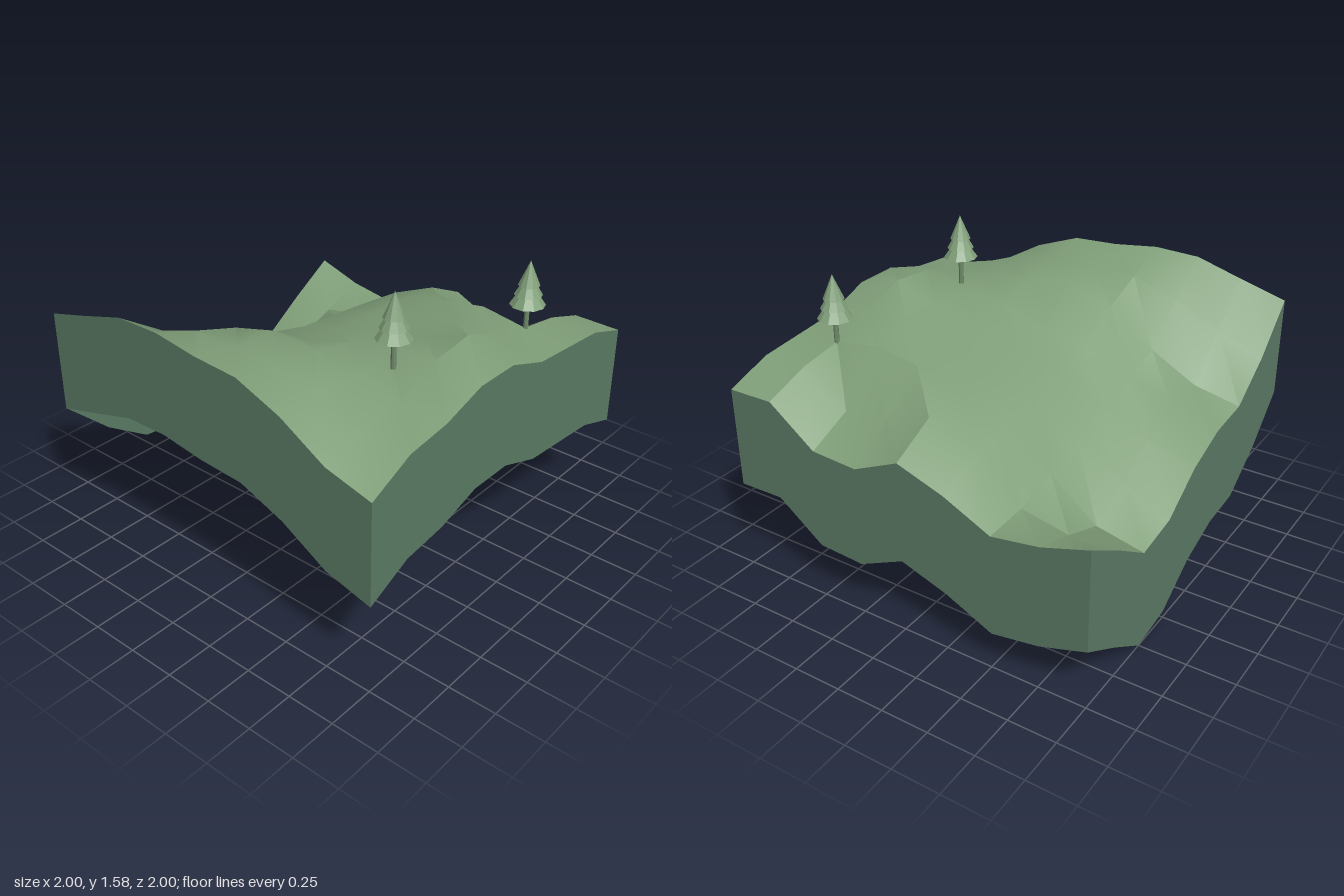
import * as THREE from 'three';
import { toCreasedNormals } from 'three/addons/utils/BufferGeometryUtils.js';

// Ground heights: rows run back to front, columns run from -x to +x
const HEIGHTS = [
  [1.225, 0.995, 0.83, 0.81, 0.725, 0.57, 0.535, 0.70, 0.85],
  [1.29, 1.09, 0.88, 0.86, 0.80, 0.69, 0.59, 0.685, 0.77],
  [1.36, 1.20, 1.015, 0.95, 0.89, 0.84, 0.79, 0.735, 0.73],
  [1.365, 1.28, 1.20, 1.08, 1.02, 1.00, 0.975, 0.945, 0.85],
  [1.33, 1.28, 1.265, 1.11, 1.085, 1.08, 1.07, 1.05, 0.935],
  [1.315, 1.275, 1.25, 1.19, 1.15, 1.13, 1.14, 0.96, 0.82],
  [1.22, 1.235, 1.20, 1.20, 1.20, 1.19, 1.18, 0.935, 0.835],
  [1.075, 1.14, 1.16, 1.265, 1.295, 1.205, 1.14, 1.105, 1.025],
  [1.01, 1.12, 1.15, 1.225, 1.225, 1.14, 1.12, 1.10, 1.02],
];
const N = HEIGHTS.length - 1;
const STEP = 2 / N;
const DEPTH = 0.535;

const ground = new THREE.MeshStandardMaterial({ color: 0x809f79, side: THREE.DoubleSide });
ground.name = 'grass green';
const earth = new THREE.MeshStandardMaterial({ color: 0x5c7b66, side: THREE.DoubleSide });
earth.name = 'blue green';
const foliage = new THREE.MeshStandardMaterial({ color: 0x809f79 });
foliage.name = 'foliage green';
const bark = new THREE.MeshStandardMaterial({ color: 0x6f8a69 });
bark.name = 'bark green';

function addMesh(parent, name, geometry, material) {
  const mesh = new THREE.Mesh(geometry, material);
  mesh.name = name;
  parent.add(mesh);
}

// Rolling surface: a grid whose vertices are lifted to the heights
function terrainGeometry() {
  const geo = new THREE.PlaneGeometry(2, 2, N, N).rotateX(-Math.PI / 2);
  const pos = geo.attributes.position;
  for (let i = 0; i < pos.count; i++) {
    pos.setY(i, HEIGHTS[Math.floor(i / (N + 1))][i % (N + 1)]);
  }
  return toCreasedNormals(geo, 0.5);
}

// Wall hanging a constant depth below one edge; at(i) gives [column, row]
function wallGeometry(at) {
  const verts = [];
  const index = [];
  for (let i = 0; i <= N; i++) {
    const [c, r] = at(i);
    const y = HEIGHTS[r][c];
    const x = -1 + c * STEP;
    const z = -1 + r * STEP;
    verts.push(x, y, z, x, y - DEPTH, z);
    if (i < N) {
      const k = i * 2;
      index.push(k, k + 1, k + 2, k + 1, k + 3, k + 2);
    }
  }
  const geo = new THREE.BufferGeometry();
  geo.setAttribute('position', new THREE.Float32BufferAttribute(verts, 3));
  geo.setIndex(index);
  geo.computeVertexNormals();
  return geo;
}

// Faceted cone or frustum standing on y
function tier(rTop, rBottom, y, height, sides) {
  const geo = new THREE.CylinderGeometry(rTop, rBottom, height, sides).toNonIndexed();
  geo.translate(0, y + height / 2, 0);
  geo.computeVertexNormals();
  return geo;
}

function makeTree(x, y, z) {
  const tree = new THREE.Group();
  tree.name = 'tree';
  addMesh(tree, 'trunk', tier(0.013, 0.013, -0.02, 0.17, 8), bark);
  addMesh(tree, 'lowerBranches', tier(0.04, 0.089, 0.133, 0.07, 10), foliage);
  addMesh(tree, 'middleBranches', tier(0.03, 0.07, 0.185, 0.07, 10), foliage);
  addMesh(tree, 'topBranches', tier(0, 0.054, 0.235, 0.128, 10), foliage);
  tree.position.set(x, y, z);
  return tree;
}

export function createModel() {
  const model = new THREE.Group();
  model.name = 'hillTile';

  addMesh(model, 'terrain', terrainGeometry(), ground);

  // Four outer walls, each running left to right as seen from outside
  addMesh(model, 'frontWall', wallGeometry((i) => [i, N]), earth);
  addMesh(model, 'rightWall', wallGeometry((i) => [N, N - i]), earth);
  addMesh(model, 'backWall', wallGeometry((i) => [N - i, 0]), earth);
  addMesh(model, 'leftWall', wallGeometry((i) => [0, i]), earth);

  model.add(makeTree(-0.335, 1.22, 0.58), makeTree(0.5, 1.137, 0.75));
  return model;
}
